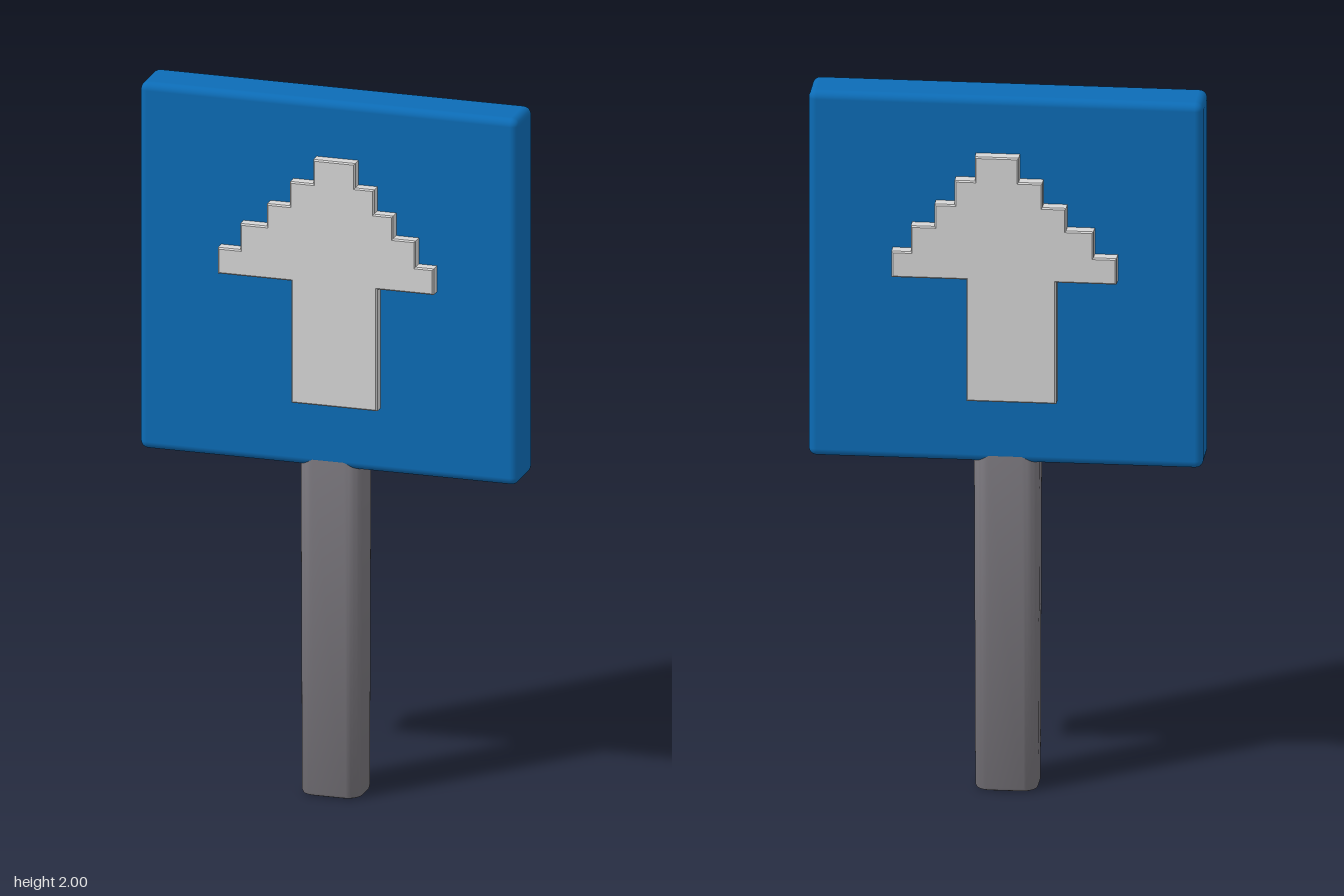
import * as THREE from 'three';
import { toCreasedNormals } from 'three/addons/utils/BufferGeometryUtils.js';
import { RoundedBoxGeometry } from 'three/addons/geometries/RoundedBoxGeometry.js';

const material = (name, color) => {
  const m = new THREE.MeshStandardMaterial({ color });
  m.name = name;
  return m;
};

// Half widths and heights of the stepped arrow head, from the tip down
const WIDTHS = [0.06, 0.12, 0.18, 0.25, 0.308];
const LEVELS = [1.84, 1.77, 1.70, 1.635, 1.56, 1.485];
const SHAFT = 0.123, FOOT = 1.135;

// Stepped arrow outline; tip, wings and shaft may sit slightly off centre
function arrowShape(tipX, wingX, shaftX) {
  const side = (s) => {
    const pts = [];
    WIDTHS.forEach((w, i) => {
      const x = THREE.MathUtils.lerp(tipX, wingX, i / (WIDTHS.length - 1)) + s * w;
      pts.push(new THREE.Vector2(x, LEVELS[i]), new THREE.Vector2(x, LEVELS[i + 1]));
    });
    const x = shaftX + s * SHAFT;
    pts.push(new THREE.Vector2(x, LEVELS.at(-1)), new THREE.Vector2(x, FOOT));
    return pts;
  };
  return new THREE.Shape([...side(1), ...side(-1).reverse()]);
}

function roundedRect(w, d, r) {
  const s = new THREE.Shape(), x = w / 2, y = d / 2;
  s.absarc(x - r, y - r, r, 0, Math.PI / 2);
  s.absarc(-x + r, y - r, r, Math.PI / 2, Math.PI);
  s.absarc(-x + r, -y + r, r, Math.PI, Math.PI * 1.5);
  s.absarc(x - r, -y + r, r, Math.PI * 1.5, Math.PI * 2);
  return s;
}

export function createModel() {
  const group = new THREE.Group();
  const blue = material('sign blue', 0x0c6cb6);
  const white = material('arrow white', 0xd6d6d6);
  const grey = material('post grey', 0x77747a);

  const add = (name, geometry, mat) => {
    const mesh = new THREE.Mesh(geometry, mat);
    mesh.name = name;
    group.add(mesh);
    return mesh;
  };

  // Square board with softened edges
  add('board', new RoundedBoxGeometry(1.08, 1.052, 0.143, 3, 0.022), blue).position.y = 1.474;

  // Post with rounded corners, slightly narrower at the foot
  const post = new THREE.ExtrudeGeometry(roundedRect(0.18, 0.142, 0.045), {
    depth: 0.97, bevelEnabled: true, bevelThickness: 0.01, bevelSize: 0.01,
    bevelOffset: -0.01, bevelSegments: 2, curveSegments: 5,
  });
  post.rotateX(-Math.PI / 2).translate(0, 0.01, 0);
  const p = post.attributes.position;
  for (let i = 0; i < p.count; i++) {
    p.setX(i, p.getX(i) * (0.96 + 0.04 * p.getY(i)));
  }
  add('post', toCreasedNormals(post, 0.7), grey);

  // Raised arrows on both faces
  const arrow = (name, shape, z) => {
    const geo = new THREE.ExtrudeGeometry(shape, {
      depth: 0.056, bevelThickness: 0.004, bevelSize: 0.004, bevelOffset: -0.004, bevelSegments: 1,
    });
    add(name, geo.translate(0, 0, z), white);
  };
  arrow('frontArrow', arrowShape(0.027, 0.003, 0.027), 0.044);
  arrow('backArrow', arrowShape(0.02, 0, -0.02), -0.104);

  return group;
}
